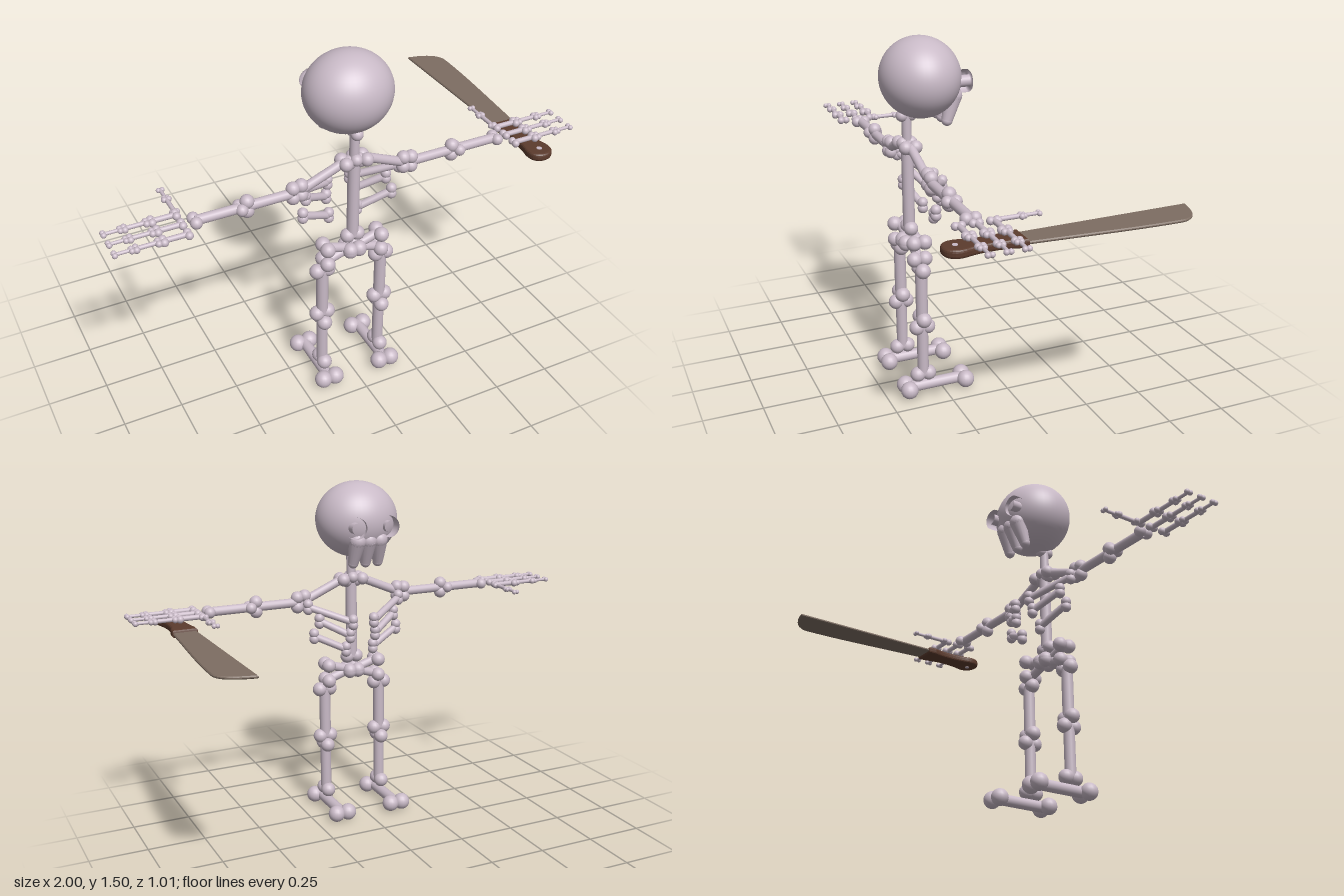
import * as THREE from 'three';
import { mergeGeometries } from 'three/addons/utils/BufferGeometryUtils.js';

const V = (x, y, z) => new THREE.Vector3(x, y, z);
const X = V(1, 0, 0), Y = V(0, 1, 0), Z = V(0, 0, 1);

const material = (name, color) => {
  const m = new THREE.MeshStandardMaterial({ color });
  m.name = name;
  return m;
};

// Shaft between two points
function shaft(a, b, r0, r1 = r0) {
  const d = b.clone().sub(a);
  const g = new THREE.CylinderGeometry(r1, r0, d.length(), 16);
  g.applyQuaternion(new THREE.Quaternion().setFromUnitVectors(Y, d.clone().normalize()));
  const m = a.clone().add(b).multiplyScalar(0.5);
  return g.translate(m.x, m.y, m.z);
}

const ball = (p, r) => new THREE.SphereGeometry(r, 18, 12).translate(p.x, p.y, p.z);

// Bone: a shaft with a pair of knuckles at each end, spread along an axis
function boneGeometry(a, b, r, R, axisA, axisB = axisA, spread = 0.75) {
  const parts = [shaft(a, b, r)];
  for (const [p, axis] of [[a, axisA], [b, axisB]]) {
    for (const s of [-1, 1]) parts.push(ball(p.clone().addScaledVector(axis, s * R * spread), R));
  }
  return mergeGeometries(parts);
}

export function createModel() {
  const model = new THREE.Group();
  const bone = material('bone', 0xc9bac7);
  const steel = material('blade steel', 0x7d6d62);
  const wood = material('handle wood', 0x5c3b2d);

  const add = (name, geometry, mat = bone, parent = model) => {
    const mesh = new THREE.Mesh(geometry, mat);
    mesh.name = name;
    parent.add(mesh);
    return mesh;
  };

  // Head, facing -z
  const head = new THREE.Group();
  head.name = 'head';
  model.add(head);
  const skull = new THREE.SphereGeometry(1, 48, 32);
  skull.scale(0.18, 0.164, 0.164).translate(0, 1.341, 0.279);
  add('skull', skull, bone, head);

  // Raised eye socket rings
  const socketProfile = [
    [0.024, -0.035], [0.024, 0.026], [0.027, 0.031], [0.039, 0.031],
    [0.045, 0.025], [0.046, 0.005], [0.043, -0.035],
  ].map(([r, y]) => new THREE.Vector2(r, y)).reverse();
  for (const s of [-1, 1]) {
    const ring = new THREE.LatheGeometry(socketProfile.slice().reverse(), 28);
    ring.rotateX(-Math.PI / 2).translate(s * 0.075, 1.326, 0.128);
    const mesh = add('eyeSocket', ring, bone, head);
    mesh.material = bone;
  }

  // Upper teeth, long roots merging into the face
  for (const x of [-0.058, 0, 0.058]) {
    const top = V(x * 0.85, 1.265, 0.158), tip = V(x, 1.167, 0.188);
    add('tooth', mergeGeometries([ball(top, 0.038), shaft(top, tip, 0.038, 0.023), ball(tip, 0.023)]), bone, head);
  }

  // Neck and spine
  add('neck', boneGeometry(V(0, 1.19, 0.34), V(0, 1.075, 0.34), 0.02, 0.025, Z));
  add('spine', boneGeometry(V(0, 1.06, 0.34), V(0, 0.71, 0.34), 0.025, 0.03, X));

  for (const s of [-1, 1]) {
    const side = new THREE.Group();
    side.name = s > 0 ? 'leftSide' : 'rightSide';
    model.add(side);
    const P = (x, y, z) => V(s * x, y, z);
    const put = (name, ...args) => add(name, boneGeometry(...args), bone, side);

    // Collar bone and arm
    put('collarBone', P(0.045, 1.067, 0.34), P(0.225, 0.99, 0.335), 0.019, 0.028, Z, Y);
    put('upperArm', P(0.26, 0.985, 0.335), P(0.45, 0.985, 0.335), 0.02, 0.028, Y, Y);
    put('forearm', P(0.478, 0.985, 0.335), P(0.66, 0.985, 0.335), 0.02, 0.024, Z, Z);

    // Hand: three fingers and a thumb
    for (const z of [0.268, 0.335, 0.402]) {
      put('palmBone', P(0.71, 0.985, z), P(0.805, 0.985, z), 0.011, 0.016, Z);
      put('fingerBase', P(0.825, 0.985, z), P(0.908, 0.985, z), 0.009, 0.013, Z);
      put('fingerTip', P(0.925, 0.985, z), P(0.988, 0.985, z), 0.007, 0.011, Z);
    }
    put('thumbBase', P(0.707, 0.985, 0.25), P(0.707, 0.985, 0.16), 0.009, 0.012, X);
    put('thumbTip', P(0.707, 0.985, 0.148), P(0.707, 0.985, 0.09), 0.007, 0.01, X);

    // Ribs, sloping inward and down toward the chest
    const ribs = [
      [[0.22, 0.965, 0.31], [0.05, 0.9, 0.21]],
      [[0.18, 0.905, 0.28], [0.06, 0.84, 0.22]],
      [[0.2, 0.835, 0.295], [0.065, 0.77, 0.255]],
    ];
    for (const [a, b] of ribs) put('rib', P(...a), P(...b), 0.016, 0.022, Y, Y, 0.6);

    // Pelvis
    put('upperPelvis', P(0.122, 0.683, 0.34), P(0.02, 0.65, 0.34), 0.02, 0.031, Z, Z);
    put('lowerPelvis', P(0.122, 0.612, 0.34), P(0.02, 0.645, 0.34), 0.02, 0.031, Z, Z);

    // Leg and foot
    put('thigh', P(0.135, 0.572, 0.34), P(0.135, 0.35, 0.34), 0.025, 0.032, X);
    put('shin', P(0.135, 0.31, 0.34), P(0.135, 0.09, 0.34), 0.024, 0.032, Z);
    put('foot', P(0.135, 0.037, 0.412), P(0.135, 0.037, 0.158), 0.024, 0.037, X);
  }

  // Blade with a clipped, curved tip
  const machete = new THREE.Group();
  machete.name = 'machete';
  model.add(machete);
  const outline = new THREE.Shape();
  outline.moveTo(0.755, 0.25);
  outline.lineTo(0.742, -0.505);
  outline.bezierCurveTo(0.78, -0.5, 0.89, -0.48, 0.888, -0.4);
  outline.bezierCurveTo(0.888, -0.2, 0.865, 0, 0.85, 0.25);
  outline.closePath();
  const blade = new THREE.ExtrudeGeometry(outline, {
    depth: 0.004, curveSegments: 14, bevelSize: 0.004, bevelOffset: -0.004,
    bevelThickness: 0.004, bevelSegments: 1,
  });
  blade.translate(0, 0, -0.002).rotateX(Math.PI / 2).translate(0, 0.941, 0);
  add('blade', blade, steel, machete);

  // Handle with a waist and a rounded pommel
  const grip = new THREE.Shape();
  grip.moveTo(0.75, 0.195);
  grip.lineTo(0.856, 0.195);
  grip.lineTo(0.854, 0.235);
  grip.bezierCurveTo(0.835, 0.28, 0.838, 0.36, 0.85, 0.41);
  grip.bezierCurveTo(0.872, 0.47, 0.84, 0.502, 0.802, 0.502);
  grip.bezierCurveTo(0.76, 0.502, 0.738, 0.47, 0.755, 0.41);
  grip.bezierCurveTo(0.765, 0.36, 0.765, 0.28, 0.75, 0.235);
  grip.closePath();
  const handle = new THREE.ExtrudeGeometry(grip, {
    depth: 0.012, curveSegments: 10, bevelSize: 0.011, bevelOffset: -0.011,
    bevelThickness: 0.011, bevelSegments: 3,
  });
  handle.translate(0, 0, -0.006).rotateX(Math.PI / 2).translate(0, 0.941, 0);
  add('handle', handle, wood, machete);

  // Rivet through the pommel
  add('rivet', new THREE.CylinderGeometry(0.011, 0.011, 0.038, 16).translate(0.803, 0.941, 0.452), bone, machete);

  return model;
}
